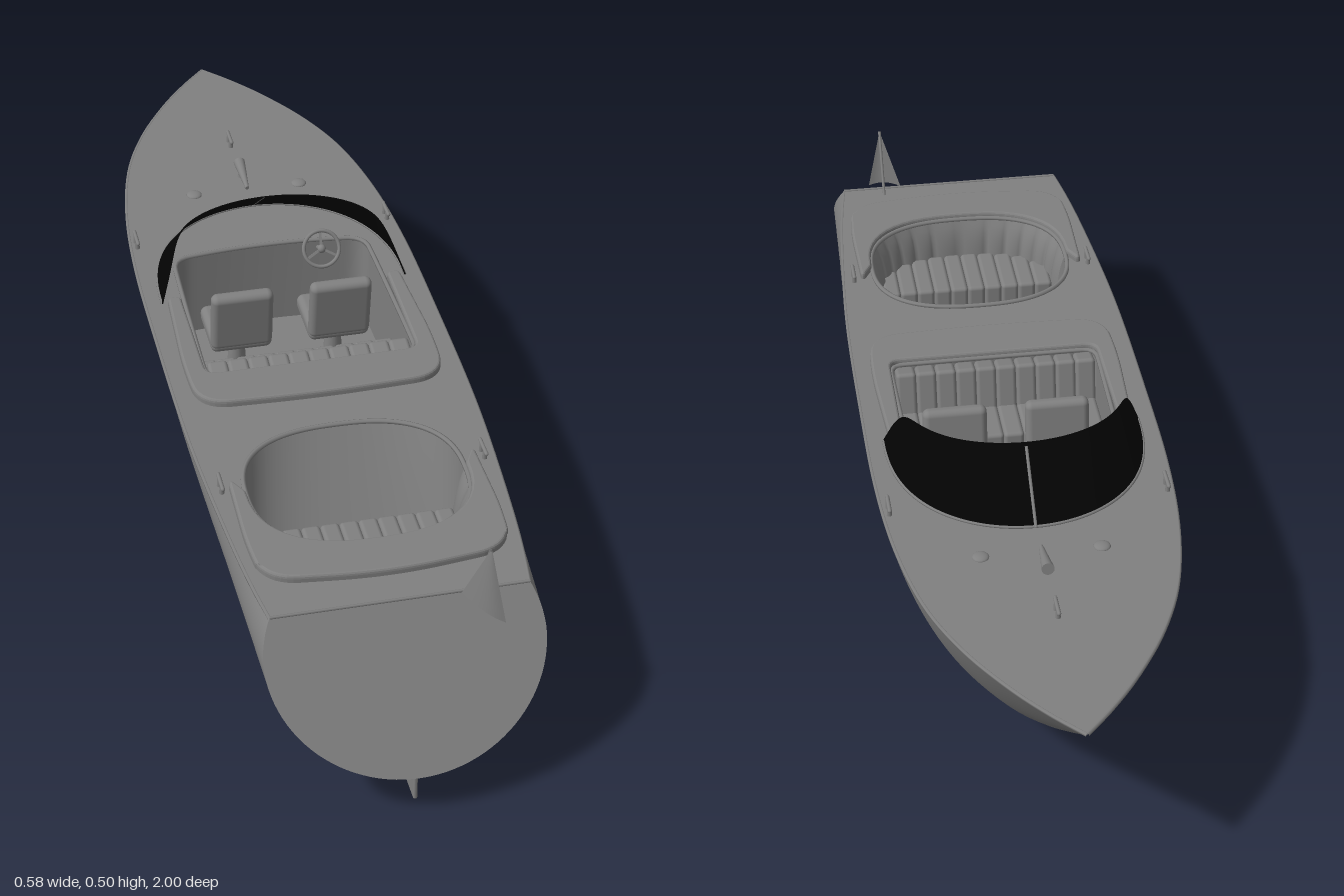
import * as THREE from 'three';
import { RoundedBoxGeometry } from 'three/addons/geometries/RoundedBoxGeometry.js';

const grey = new THREE.MeshStandardMaterial({ color: 0x808080 });
const greyBoth = new THREE.MeshStandardMaterial({ color: 0x808080, side: THREE.DoubleSide });
const glass = new THREE.MeshStandardMaterial({ color: 0x030303, side: THREE.DoubleSide });
const V = (x, y, z) => new THREE.Vector3(x, y, z);
const lerp = THREE.MathUtils.lerp;

function add(parent, name, geometry, pos = [0, 0, 0], rot = [0, 0, 0], material = grey) {
  const m = new THREE.Mesh(geometry, material);
  m.name = name;
  m.position.set(...pos);
  m.rotation.set(...rot);
  parent.add(m);
  return m;
}

// Smooth sheet from a rule f(u, v), both 0..1
function sheet(nu, nv, f) {
  const g = new THREE.PlaneGeometry(1, 1, nu, nv), p = g.attributes.position;
  for (let i = 0; i < p.count; i++) p.setXYZ(i, ...f(p.getX(i) + 0.5, p.getY(i) + 0.5));
  g.computeVertexNormals();
  return g;
}

// Closed plan outline [x, z, cornerRadius] turned into a shape (shape y = -z)
function rounded(points, Type = THREE.Shape) {
  const s = new Type(), n = points.length;
  const P = points.map(([x, z]) => new THREE.Vector2(x, -z));
  for (let i = 0; i < n; i++) {
    const c = P[i], a = P[(i + n - 1) % n], b = P[(i + 1) % n], r = points[i][2];
    const p = c.clone().add(a.clone().sub(c).setLength(r)), q = c.clone().add(b.clone().sub(c).setLength(r));
    if (i) s.lineTo(p.x, p.y); else s.moveTo(p.x, p.y);
    s.quadraticCurveTo(c.x, c.y, q.x, q.y);
  }
  s.closePath();
  return s;
}
const flat = g => g.rotateX(-Math.PI / 2);

// Hull stations, stern to bow: deck z, keel z, half beam, keel y, tumblehome, V-shape
const stations = [
  [0.83, 1.0, 0.253, 0.10, 0.075, 0.04], [0.6, 0.72, 0.264, 0.092, 0.045, 0.08], [0.3, 0.35, 0.278, 0.085, 0.015, 0.12],
  [0, 0, 0.281, 0.077, 0, 0.13], [-0.25, -0.25, 0.279, 0.071, 0, 0.14], [-0.45, -0.42, 0.264, 0.072, 0, 0.18],
  [-0.62, -0.54, 0.231, 0.08, 0, 0.27], [-0.75, -0.62, 0.18, 0.098, 0, 0.42], [-0.86, -0.72, 0.115, 0.168, 0, 0.55],
  [-0.94, -0.85, 0.055, 0.277, 0, 0.65], [-1, -1, 0.001, 0.408, 0, 0.7]];
const curveA = new THREE.CatmullRomCurve3(stations.map(s => V(s[0], s[1], s[2])), false, 'catmullrom');
const curveB = new THREE.CatmullRomCurve3(stations.map(s => V(s[3], s[4], s[5])), false, 'catmullrom');
const DECK = 0.387, SLOPE = 0.026;

// Point on the hull: t stern to bow, j = -1..1 from one deck edge under the keel to the other
function hullPoint(t, j) {
  const { x: zTop, y: zKeel, z: beam } = curveA.getPoint(t), { x: keel, y: d, z: v } = curveB.getPoint(t);
  const sheer = DECK - SLOPE * zTop, drop = Math.max(0, d), yc = sheer - drop, h = yc - keel;
  const phi = Math.abs(j) * (Math.PI / 2 + Math.asin(Math.min(1, drop / h)));
  const y = yc - h * Math.cos(phi);
  const w = phi < Math.PI / 2 ? lerp(Math.sin(phi), 1 - Math.cos(phi), v) : Math.sin(phi);
  return [Math.sign(j) * beam * w, y, lerp(zKeel, zTop, (y - keel) / (sheer - keel))];
}

function buildHull(boat) {
  add(boat, 'hull', sheet(64, 72, (u, v) => hullPoint(1 - v, u * 2 - 1)), undefined, undefined, greyBoth);
  const topMiddle = hullPoint(0, 1);
  topMiddle[0] = 0;
  add(boat, 'transom', sheet(64, 1, (u, v) => hullPoint(0, u * 2 - 1).map((q, i) => lerp(q, topMiddle[i], v))),
    undefined, undefined, greyBoth);
  for (const s of [-1, 1]) {
    const pts = Array.from({ length: 41 }, (_, i) => V(...hullPoint(i / 40, s)).add(V(-0.001 * s, -0.003, 0)));
    add(boat, 'rubRail', new THREE.TubeGeometry(new THREE.CatmullRomCurve3(pts), 80, 0.004, 6));
  }
  add(boat, 'transomTrim', new THREE.TubeGeometry(new THREE.LineCurve3(V(...hullPoint(0, -1)), V(...hullPoint(0, 1))), 2, 0.003, 6));
}

// Cockpit openings in plan
const frontOpening = [[-0.2, -0.27, 0.04], [0, -0.295, 0.15], [0.2, -0.27, 0.04], [0.208, 0.135, 0.03], [-0.208, 0.135, 0.03]];
const rearPoint = a => {
  const c = Math.cos(a), s = Math.sin(a), e = 0.8;
  return [0.205 * Math.sign(c) * Math.abs(c) ** e, 0.5 + 0.172 * Math.sign(s) * Math.abs(s) ** e];
};
const ring = (n, a0, a1) => Array.from({ length: n }, (_, i) => rearPoint(lerp(a0, a1, i / (n - 1))));

function buildDeck(deck) {
  const shape = new THREE.Shape(), N = 60;
  const edge = s => Array.from({ length: N + 1 }, (_, i) => hullPoint(i / N, s));
  [...edge(1), ...edge(-1).reverse()].forEach(([x, , z], i) => i ? shape.lineTo(x, -z) : shape.moveTo(x, -z));
  const front = rounded(frontOpening, THREE.Path);
  const rear = new THREE.Path(ring(49, 0, Math.PI * 2).slice(0, -1).map(([x, z]) => new THREE.Vector2(x, -z)));
  rear.closePath();
  shape.holes.push(front, rear);
  add(deck, 'deck', flat(new THREE.ShapeGeometry(shape, 8)), undefined, undefined, greyBoth);

  // Cockpit wells: walls, floor and rim; the rear one slopes in at its forward side
  for (const [name, path, slope] of [['frontCockpit', front, 0], ['rearCockpit', rear, 0.65]]) {
    const pts = path.getPoints(8);
    const wall = (u, v) => {
      const p = pts[Math.round(u * (pts.length - 1))];
      return [p.x, -0.19 * (1 - v), -p.y + slope * (1 - v) * Math.max(0, 0.5 + p.y)];
    };
    add(deck, name + 'Wall', sheet(pts.length - 1, 1, wall), undefined, undefined, greyBoth);
    add(deck, name + 'Floor', flat(new THREE.ShapeGeometry(new THREE.Shape(pts))), [0, -0.185, 0], undefined, greyBoth);
    const rim = new THREE.CatmullRomCurve3(pts.slice(0, -1).map(p => V(p.x, 0.002, -p.y)), true);
    add(deck, name + 'Rim', new THREE.TubeGeometry(rim, 120, 0.005, 6, true));
  }

  // Padded coamings wrapped round the back of each opening
  const pad = { depth: 0.008, bevelThickness: 0.007, bevelSize: 0.005, bevelSegments: 3, curveSegments: 10 };
  const frontPad = rounded([[0.232, -0.12, 0.005], [0.243, 0.1, 0.06], [0.236, 0.225, 0.06], [0, 0.235, 0.1], [-0.236, 0.225, 0.06],
    [-0.243, 0.1, 0.06], [-0.232, -0.12, 0.005], [-0.215, -0.12, 0.005], [-0.213, 0.142, 0.03], [0.213, 0.142, 0.03], [0.215, -0.12, 0.005]]);
  const inner = ring(25, Math.PI, 0).map(([x, z]) => [x * 1.03, 0.5 + (z - 0.5) * 1.04, 0.003]);
  const rearPad = rounded([[0.227, 0.47, 0.004], [0.231, 0.65, 0.06], [0.22, 0.74, 0.06], [0, 0.765, 0.1], [-0.22, 0.74, 0.06],
    [-0.231, 0.65, 0.06], [-0.227, 0.47, 0.004], ...inner]);
  add(deck, 'frontCoaming', flat(new THREE.ExtrudeGeometry(frontPad, pad)));
  add(deck, 'rearCoaming', flat(new THREE.ExtrudeGeometry(rearPad, pad)));
}

function buildSeats(deck) {
  // Two separate front seats
  for (const x of [-0.095, 0.105]) {
    const seat = new THREE.Group();
    seat.name = 'frontSeat';
    seat.position.set(x, 0, 0);
    add(seat, 'seatCushion', new RoundedBoxGeometry(0.125, 0.035, 0.13, 3, 0.014), [0, -0.09, -0.145]);
    add(seat, 'seatBack', new RoundedBoxGeometry(0.125, 0.135, 0.03, 3, 0.013), [0, -0.03, -0.085], [0.12, 0, 0]);
    add(seat, 'seatPost', new THREE.CylinderGeometry(0.015, 0.02, 0.08, 16), [0, -0.145, -0.14]);
    deck.add(seat);
  }
  // Pleated bench in the front cockpit and pleated seat in the rear one
  const n = 10, w = 0.04;
  for (let i = 0; i < n; i++) {
    const x = (i - (n - 1) / 2) * w;
    add(deck, 'benchCushionPleat', new RoundedBoxGeometry(w, 0.05, 0.12, 2, 0.008), [x, -0.1, 0.035]);
    add(deck, 'benchBackPleat', new RoundedBoxGeometry(w, 0.13, 0.045, 2, 0.008), [x, -0.06, 0.1], [0.2, 0, 0]);
    const xr = x * 0.9, end = 0.5 + 0.172 * (1 - (Math.abs(xr) / 0.205) ** 2.5) ** 0.4 - 0.015;
    add(deck, 'rearCushionPleat', new RoundedBoxGeometry(w * 0.9, 0.05, end - 0.515, 2, 0.008), [xr, -0.1, (end + 0.515) / 2]);
  }
  add(deck, 'benchBase', new THREE.BoxGeometry(0.39, 0.07, 0.12), [0, -0.15, 0.065]);
  add(deck, 'rearSeatBase', new THREE.BoxGeometry(0.32, 0.07, 0.07), [0, -0.15, 0.56]);
  // Scalloped backrest following the aft curve of the rear cockpit
  add(deck, 'rearBackrest', sheet(112, 8, (u, v) => {
    const [x, z] = rearPoint(Math.PI * (1 - u)), bulge = Math.abs(Math.sin(u * Math.PI * 14)) ** 0.6;
    const k = 1 - (0.05 + 0.035 * bulge) * (1 - v ** 4) - 0.05 * (1 - v);
    return [x * k, -0.12 + 0.12 * v, 0.5 + (z - 0.5) * k];
  }), undefined, undefined, greyBoth);
}

function buildWindshield(deck) {
  // Raked wraparound screen; height rounds off to nothing at both ends
  const screen = (u, v) => {
    const k = u * 2 - 1, a = k * Math.PI / 2, h = v * (1 - Math.abs(k) ** 12) ** 0.6, c = Math.max(0, Math.cos(a)) ** 0.8;
    return [lerp(0.248, 0.212, h) * Math.sin(a), 0.004 + 0.101 * h, -0.12 - lerp(0.31, 0.185, h) * c];
  };
  add(deck, 'windshield', sheet(96, 6, screen), undefined, undefined, glass);
  const line = (name, f, r, z, material) => add(deck, name, new THREE.TubeGeometry(
    new THREE.CatmullRomCurve3(Array.from({ length: 65 }, (_, i) => V(...f(i / 64)))), 96, r, 6), [0, 0, z], undefined, material);
  line('windshieldBase', t => screen(t, 0), 0.003, 0);
  line('windshieldTop', t => screen(t, 1), 0.0015, 0, glass);
  line('windshieldBar', t => screen(0.5, t * 0.97), 0.003, -0.004);

  // Steering wheel on a raked column
  const wheel = new THREE.Group();
  wheel.name = 'steeringWheel';
  wheel.position.set(0.105, 0, -0.25);
  wheel.rotation.x = -0.5;
  add(wheel, 'wheelRim', new THREE.TorusGeometry(0.037, 0.004, 8, 32));
  add(wheel, 'wheelHub', new THREE.SphereGeometry(0.009, 12, 8));
  for (let i = 0; i < 3; i++) {
    const a = Math.PI / 2 + i * Math.PI * 2 / 3;
    add(wheel, 'wheelSpoke', new THREE.BoxGeometry(0.037, 0.005, 0.003), [0.018 * Math.cos(a), 0.018 * Math.sin(a), 0], [0, 0, a]);
  }
  add(wheel, 'steeringColumn', new THREE.CylinderGeometry(0.005, 0.005, 0.06, 10), [0, 0, -0.03], [Math.PI / 2, 0, 0]);
  deck.add(wheel);
}

function buildFittings(deck) {
  const cleat = (x, z) => {
    const g = new THREE.Group();
    g.name = 'cleat';
    g.position.set(x, 0, z);
    for (const dz of [-0.011, 0.011]) add(g, 'cleatPost', new THREE.CylinderGeometry(0.004, 0.005, 0.018, 8), [0, 0.009, dz]);
    add(g, 'cleatBar', new THREE.CapsuleGeometry(0.004, 0.045, 4, 8), [0, 0.018, 0], [Math.PI / 2, 0, 0]);
    deck.add(g);
  };
  cleat(0, -0.68);
  for (const s of [-1, 1]) {
    cleat(s * 0.262, -0.34);
    cleat(s * 0.247, 0.47);
    add(deck, 'deckVent', new THREE.SphereGeometry(0.016, 16, 8, 0, Math.PI * 2, 0, Math.PI / 2), [s * 0.112, 0, -0.5]).scale.y = 0.4;
  }
  // Bow light: tapered body rising toward the bow on a short stem
  add(deck, 'bowLight', new THREE.CylinderGeometry(0.012, 0.004, 0.085, 16), [0, 0.013, -0.535], [-Math.PI / 2 + 0.15, 0, 0]);
  add(deck, 'bowLightStem', new THREE.CylinderGeometry(0.006, 0.009, 0.016, 10), [0, 0.007, -0.55]);
}

function buildStern(boat) {
  // Flag on a raked staff
  const top = V(0.147, 0.485, 0.872), foot = V(0.147, 0.362, 0.8);
  add(boat, 'flagStaff', new THREE.TubeGeometry(new THREE.LineCurve3(foot, top), 2, 0.003, 8));
  const left = V(0.108, 0.365, 0.835), right = V(0.172, 0.335, 0.895);
  add(boat, 'flag', sheet(8, 6, (u, v) => {
    const p = left.clone().lerp(right, u).lerp(top, v);
    return [p.x, p.y, p.z + 0.014 * Math.sin(u * Math.PI) * (1 - v)];
  }), undefined, undefined, greyBoth);

  // Propeller, shaft and rudder
  add(boat, 'propellerShaft', new THREE.TubeGeometry(new THREE.LineCurve3(V(0, 0.1, 0.6), V(0, 0.05, 0.87)), 2, 0.005, 10));
  const prop = new THREE.Group();
  prop.name = 'propeller';
  prop.position.set(0.003, 0.052, 0.86);
  add(prop, 'propellerHub', new THREE.CapsuleGeometry(0.009, 0.025, 6, 12), undefined, [Math.PI / 2, 0, 0]);
  for (let i = 0; i < 3; i++) {
    const arm = new THREE.Group();
    arm.name = 'propellerBlade';
    arm.rotation.z = Math.PI + 0.2 + i * Math.PI * 2 / 3;
    add(arm, 'blade', new THREE.SphereGeometry(1, 16, 10), [0, 0.028, 0], [0, 0.5, 0]).scale.set(0.016, 0.023, 0.003);
    prop.add(arm);
  }
  boat.add(prop);
  add(boat, 'rudder', new RoundedBoxGeometry(0.008, 0.075, 0.057, 2, 0.0035), [0, 0.055, 0.938]);
  add(boat, 'rudderStock', new THREE.CylinderGeometry(0.005, 0.005, 0.06, 10), [0, 0.095, 0.93]);
}

export function createModel() {
  const boat = new THREE.Group();
  boat.name = 'motorboat';
  boat.rotation.y = 0.0245;
  const deck = new THREE.Group();
  deck.name = 'deckAndCockpits';
  deck.position.y = DECK;
  deck.rotation.x = Math.atan(SLOPE);
  [buildDeck, buildSeats, buildWindshield, buildFittings].forEach(build => build(deck));
  buildHull(boat);
  buildStern(boat);
  boat.add(deck);
  const model = new THREE.Group();
  model.name = 'model';
  model.add(boat);
  return model;
}
